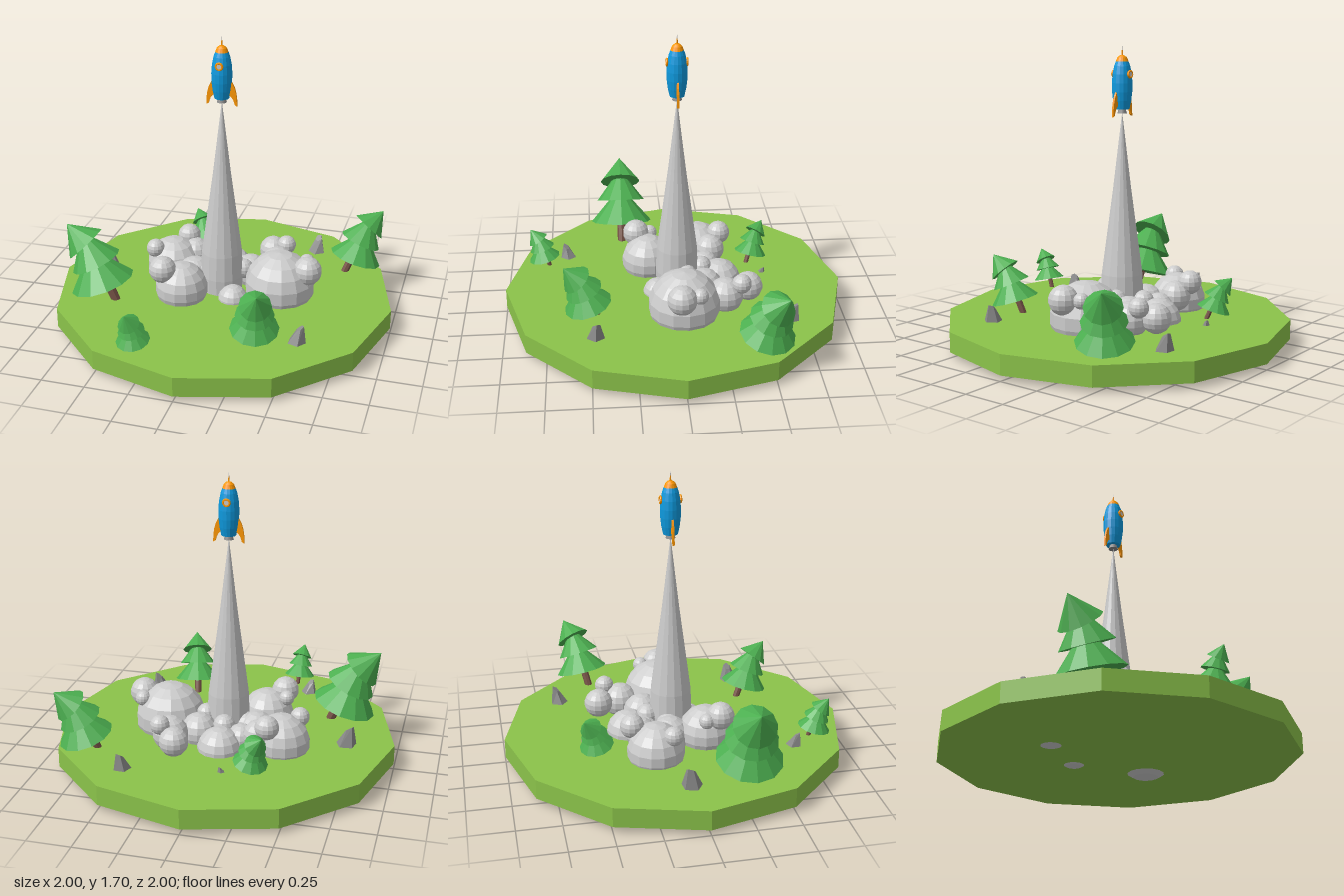
import * as THREE from 'three';

const mat = (color, side = THREE.FrontSide) =>
  new THREE.MeshStandardMaterial({ color, flatShading: true, side });
const GREY = mat(0xcccccc), ROCK = mat(0x8c8c8c), GRASS = mat(0x8bc34a), LEAF = mat(0x4caf50);
const BARK = mat(0x795548), BLUE = mat(0x0e9be0), ORANGE = mat(0xff9800), WHITE = mat(0xf4f4f4);
const GROUND = 0.155;

function add(parent, name, geometry, material, x = 0, y = 0, z = 0) {
  const mesh = new THREE.Mesh(geometry, material);
  mesh.name = name;
  mesh.position.set(x, y, z);
  parent.add(mesh);
  return mesh;
}

const lathe = (points, sides) =>
  new THREE.LatheGeometry(points.map(([r, y]) => new THREE.Vector2(r, y)), sides);

// Bent conifer: leans along its local +x, each tier tilted further than the one below
function tree(name, x, z, leanX, leanZ, size, lean = 1) {
  const g = new THREE.Group();
  g.name = name;
  const path = new THREE.CatmullRomCurve3([
    new THREE.Vector3(0, -0.02, 0),
    new THREE.Vector3(0.045 * lean, 0.08, 0),
    new THREE.Vector3(0.1 * lean, 0.18, 0),
  ]);
  add(g, 'trunk', new THREE.TubeGeometry(path, 4, 0.027, 8), BARK);
  // centre x, centre y, radius, height, tilt
  const tiers = [
    [0.085, 0.10, 0.19, 0.22, 0.32],
    [0.12, 0.23, 0.15, 0.20, 0.45],
    [0.18, 0.335, 0.125, 0.16, 0.78],
  ];
  for (const [cx, cy, r, h, t] of tiers) {
    const tilt = t * lean;
    const cone = add(g, 'foliageTier', new THREE.ConeGeometry(r, h, 12), LEAF,
      cx * lean + Math.sin(tilt) * h / 2, cy + Math.cos(tilt) * h / 2);
    cone.rotation.z = -tilt;
  }
  g.position.set(x, GROUND, z);
  g.rotation.y = Math.atan2(-leanZ, leanX);
  g.scale.setScalar(size);
  return g;
}

// Angular stone: a tapered five-sided block with its top pushed sideways
function rock(x, z, r, h, turn) {
  const geo = new THREE.CylinderGeometry(r * 0.4, r, h, 5);
  const p = geo.attributes.position;
  for (let i = 0; i < p.count; i++) {
    if (p.getY(i) > 0) {
      p.setY(i, p.getY(i) + p.getX(i) * 0.7);
      p.setX(i, p.getX(i) + r * 0.35);
    }
  }
  const mesh = new THREE.Mesh(geo, ROCK);
  mesh.name = 'rock';
  mesh.position.set(x, GROUND + h / 2 - 0.005, z);
  mesh.rotation.y = turn;
  return mesh;
}

function rocket() {
  const g = new THREE.Group();
  g.name = 'rocket';
  add(g, 'body', lathe([[0, 1.35], [0.042, 1.352], [0.052, 1.4], [0.058, 1.45], [0.059, 1.5],
    [0.055, 1.55], [0.046, 1.595], [0.036, 1.622]], 16), BLUE);
  add(g, 'noseCone', lathe([[0.037, 1.62], [0.028, 1.642], [0.015, 1.654], [0, 1.658]], 16), ORANGE);
  add(g, 'antennaBase', new THREE.CylinderGeometry(0.003, 0.005, 0.03, 8), ORANGE, 0, 1.67);
  add(g, 'antennaTip', new THREE.CylinderGeometry(0.0015, 0.0025, 0.025, 6), GREY, 0, 1.693);
  add(g, 'nozzle', new THREE.CylinderGeometry(0.02, 0.028, 0.026, 14), ROCK, 0, 1.341);

  // Curved fins on both sides
  const fin = new THREE.Shape();
  fin.moveTo(0.045, 1.465);
  fin.quadraticCurveTo(0.09, 1.42, 0.089, 1.31);
  fin.lineTo(0.076, 1.318);
  fin.quadraticCurveTo(0.068, 1.36, 0.04, 1.375);
  const finGeo = new THREE.ExtrudeGeometry(fin,
    { depth: 0.012, bevelEnabled: false, curveSegments: 5 });
  finGeo.translate(0, 0, -0.006);
  for (const side of [0, 1]) add(g, 'fin', finGeo, ORANGE).rotation.y = side * Math.PI;

  // Round portholes front and back
  for (const s of [1, -1]) {
    add(g, 'portholeRim', new THREE.TorusGeometry(0.018, 0.007, 6, 14), ORANGE, 0, 1.55, s * 0.056);
    add(g, 'portholeGlass', new THREE.CylinderGeometry(0.017, 0.017, 0.016, 14), WHITE,
      0, 1.55, s * 0.052).rotation.x = Math.PI / 2;
  }
  g.position.set(-0.02, 0, -0.02);
  return g;
}

function smoke() {
  const g = new THREE.Group();
  g.name = 'smoke';
  add(g, 'exhaustPlume', lathe([[0, 0.1], [0.12, 0.12], [0.126, 0.25], [0.119, 0.4], [0.052, 0.9],
    [0, 1.335]], 16), GREY, -0.02, 0, -0.02);
  // x, y, z, radius
  const puffs = [
    [0.33, 0.215, -0.035, 0.207], [-0.37, 0.195, -0.175, 0.165], [-0.22, 0.21, 0.145, 0.155],
    [-0.03, 0.155, -0.275, 0.13], [0.26, 0.22, -0.28, 0.105], [0.2, 0.24, -0.42, 0.085],
    [0.295, 0.31, -0.37, 0.057], [-0.31, 0.33, -0.3, 0.07], [-0.46, 0.32, -0.09, 0.056],
    [-0.315, 0.345, 0.21, 0.08], [-0.34, 0.33, 0.125, 0.045], [0.5, 0.34, -0.01, 0.085],
    [0.475, 0.345, -0.115, 0.046], [0.08, 0.15, 0.1, 0.088], [-0.03, 0.25, -0.165, 0.065],
    [-0.13, 0.22, -0.055, 0.075], [0.1, 0.27, -0.07, 0.06], [0.12, 0.2, -0.17, 0.11],
    [-0.2, 0.19, -0.06, 0.115], [-0.14, 0.2, -0.2, 0.085], [-0.25, 0.25, -0.24, 0.09],
  ];
  for (const [x, y, z, r] of puffs) {
    add(g, 'smokePuff', new THREE.SphereGeometry(r, 14, 9), GREY, x, y, z).rotation.y = x * 7;
  }
  return g;
}

export function createModel() {
  const model = new THREE.Group();
  model.name = 'rocketLaunch';

  // Twelve-sided grassy island
  add(model, 'ground', new THREE.CylinderGeometry(1, 1, 0.115, 12), GRASS, 0, 0.0975, 0);

  model.add(rocket(), smoke());

  model.add(
    tree('treeLeft', -0.575, 0.29, -1, 0, 1),
    tree('treeRight', 0.65, -0.42, 0.19, -0.12, 0.83),
    tree('treeFrontRight', 0.3, 0.46, 0.05, 0.165, 0.73, 0.9),
    tree('treeFrontLeft', -0.29, 0.745, -0.02, 0.09, 0.5, 0.75),
    tree('treeBack', -0.23, -0.465, -0.1, -0.1, 0.52),
  );

  model.add(
    rock(-0.725, -0.045, 0.062, 0.11, 2.6),
    rock(0.435, -0.635, 0.055, 0.09, 1.2),
    rock(0.545, 0.475, 0.055, 0.09, 0.3),
    rock(-0.385, 0.63, 0.05, 0.07, 4.1),
    rock(-0.11, -0.545, 0.023, 0.03, 0.8),
  );
  return model;
}
